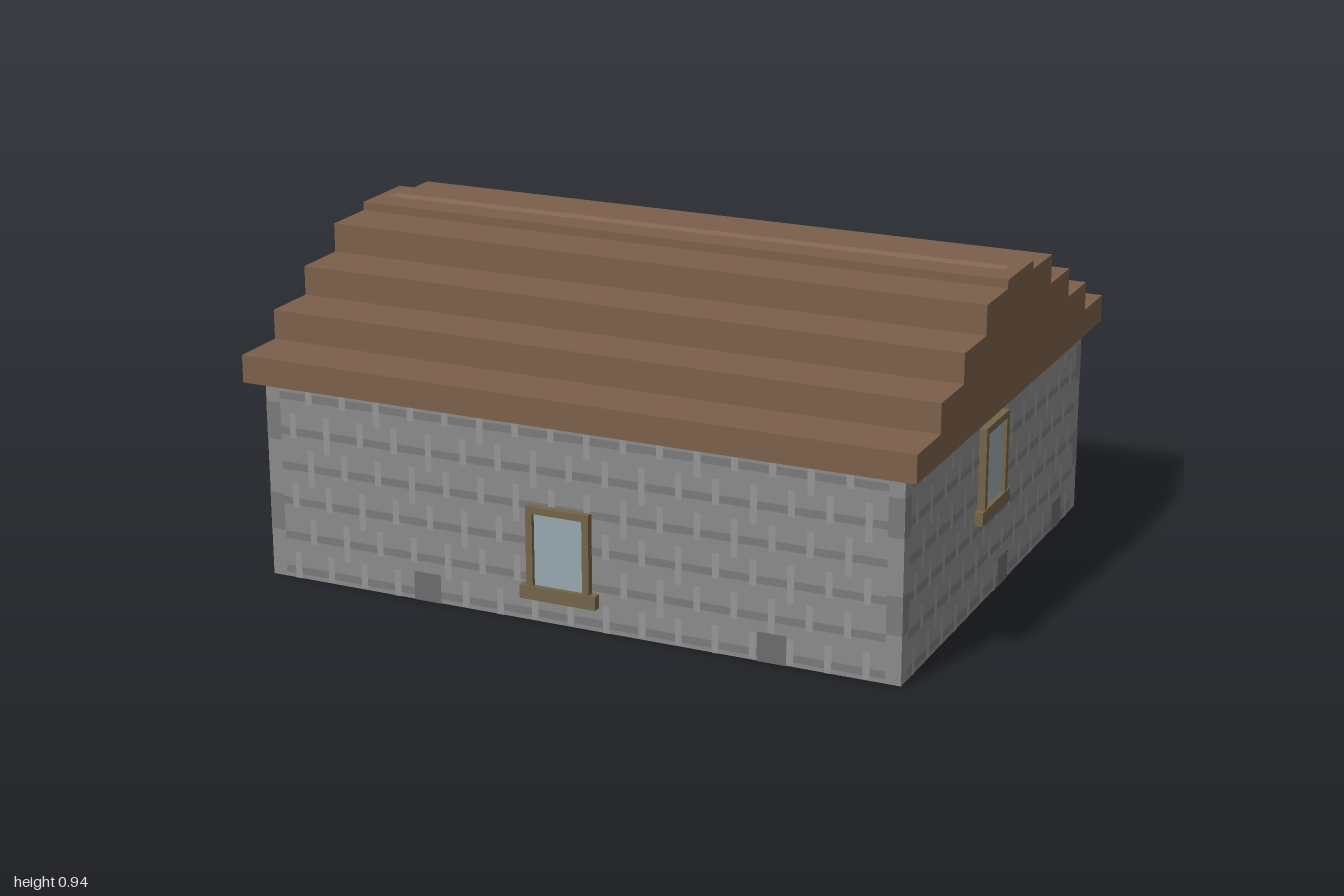
import * as THREE from 'three';
import { mergeGeometries } from 'three/addons/utils/BufferGeometryUtils.js';

const mat = (color) => new THREE.MeshStandardMaterial({ color });
const STONE = mat(0x8b8b8b), DARK = mat(0x7b7b7b), LIGHT = mat(0x969696), SHADE = mat(0x6c6c6c);
const ROOF = mat(0x7c604a), RIDGE = mat(0x866b56), WOOD = mat(0x74654a), GLASS = mat(0x9aa8b0);

const WALL_X = 0.955, WALL_Z = 0.742, WALL_H = 0.58;

function box(name, material, x0, x1, y0, y1, z0, z1) {
  const mesh = new THREE.Mesh(new THREE.BoxGeometry(x1 - x0, y1 - y0, z1 - z0), material);
  mesh.position.set((x0 + x1) / 2, (y0 + y1) / 2, (z0 + z1) / 2);
  mesh.name = name;
  return mesh;
}

// Flat patch lying just in front of a wall
function patch(u0, u1, y0, y1, lift) {
  return new THREE.PlaneGeometry(u1 - u0, y1 - y0).translate((u0 + u1) / 2, (y0 + y1) / 2, lift);
}

// Framed window with a recessed pane and a wider sill
function makeWindow(u, y0, y1, width) {
  const g = new THREE.Group();
  g.name = 'window';
  const h = width / 2, bar = 0.02, depth = 0.022, sillTop = y0 + 0.04;
  g.add(
    box('windowSill', WOOD, u - h - 0.02, u + h + 0.02, y0, sillTop, 0, depth + 0.002),
    box('windowJamb', WOOD, u - h, u - h + bar, sillTop, y1, 0, depth),
    box('windowJamb', WOOD, u + h - bar, u + h, sillTop, y1, 0, depth),
    box('windowHead', WOOD, u - h + bar, u + h - bar, y1 - bar, y1, 0, depth),
    box('windowPane', GLASS, u - h + bar, u + h - bar, sillTop, y1 - bar, 0, 0.01)
  );
  return g;
}

// Masonry courses: dark bed joints, light upright joints, corner stones, foundation blocks
function makeMasonry(half, blocks) {
  const g = new THREE.Group();
  g.name = 'masonry';
  const dark = [], light = [], shade = [];
  const inner = half - 0.045, pitch = 0.108;
  for (let row = 0; row < 6; row++) {
    const top = 0.035 + row * 0.104;
    const shift = (row % 2) * pitch / 2;
    dark.push(patch(-inner, inner, top - 0.022, top, 0.001));
    for (let u = -inner + 0.03 + shift, i = 0; u + 0.02 < inner; u += pitch, i++) {
      const drop = i % 3 === row % 3 ? 0.035 : 0;
      light.push(patch(u, u + 0.02, Math.max(0, top - 0.03 - drop), Math.min(WALL_H, top + 0.045), 0.002));
    }
  }
  for (const [side, y] of [[-1, 0.41], [-1, 0.14], [1, 0.41], [1, 0.14]]) {
    const a = side * half, b = side * inner;
    dark.push(patch(Math.min(a, b), Math.max(a, b), y, y + 0.11, 0.001));
  }
  for (const u of blocks) shade.push(patch(u - 0.042, u + 0.042, 0, 0.085, 0.003));
  for (const [name, list, m] of [['bedJoints', dark, DARK], ['uprightJoints', light, LIGHT], ['foundationBlocks', shade, SHADE]]) {
    const mesh = new THREE.Mesh(mergeGeometries(list), m);
    mesh.name = name;
    g.add(mesh);
  }
  return g;
}

// Back door: inner lining with a slightly larger leaf over it
function makeDoor(u) {
  const g = new THREE.Group();
  g.name = 'door';
  g.add(
    box('doorLining', WOOD, u - 0.135, u + 0.135, 0, 0.402, 0, 0.023),
    box('doorLeaf', WOOD, u - 0.155, u + 0.155, 0.003, 0.425, 0.023, 0.043)
  );
  return g;
}

// Stepped gable profile extruded along the length of the house
function makeRoof() {
  const g = new THREE.Group();
  g.name = 'roof';
  const steps = [[0.786, 0.66], [0.615, 0.745], [0.445, 0.83], [0.275, 0.915], [0.107, 0.94]];
  const right = [];
  let y = WALL_H;
  for (const [z, top] of steps) {
    right.push(new THREE.Vector2(z, y), new THREE.Vector2(z, top));
    y = top;
  }
  const left = right.map((p) => new THREE.Vector2(-p.x, p.y)).reverse();
  const geo = new THREE.ExtrudeGeometry(new THREE.Shape([...right, ...left]), { depth: 2, bevelEnabled: false });
  geo.translate(0, 0, -1).rotateY(Math.PI / 2);
  const body = new THREE.Mesh(geo, ROOF);
  body.name = 'steppedRoof';
  const strip = new THREE.Mesh(new THREE.PlaneGeometry(1.92, 0.045).rotateX(-Math.PI / 2), RIDGE);
  strip.position.set(0, 0.9415, 0);
  strip.name = 'ridgeStrip';
  g.add(body, strip);
  return g;
}

export function createModel() {
  const house = new THREE.Group();
  house.name = 'house';
  house.add(box('walls', STONE, -WALL_X, WALL_X, 0, WALL_H, -WALL_Z, WALL_Z), makeRoof());

  // Each wall side is laid out facing +z, then turned into place
  const sides = [
    ['frontSide', 0, WALL_X, WALL_Z, [-0.45, 0.59], makeWindow(-0.035, 0.07, 0.34, 0.19)],
    ['leftSide', Math.PI / 2, WALL_Z, WALL_X, [0.06, 0.55], makeWindow(-0.077, 0.257, 0.533, 0.19)],
    ['backSide', Math.PI, WALL_X, WALL_Z, [0.8], makeDoor(-0.01)],
    ['rightSide', -Math.PI / 2, WALL_Z, WALL_X, [-0.46], makeWindow(0, 0.18, 0.45, 0.19)]
  ];
  for (const [name, turn, half, out, blocks, opening] of sides) {
    const side = new THREE.Group();
    side.name = name;
    side.rotation.y = turn;
    side.position.set(Math.sin(turn) * out, 0, Math.cos(turn) * out);
    side.add(makeMasonry(half, blocks), opening);
    house.add(side);
  }
  return house;
}
